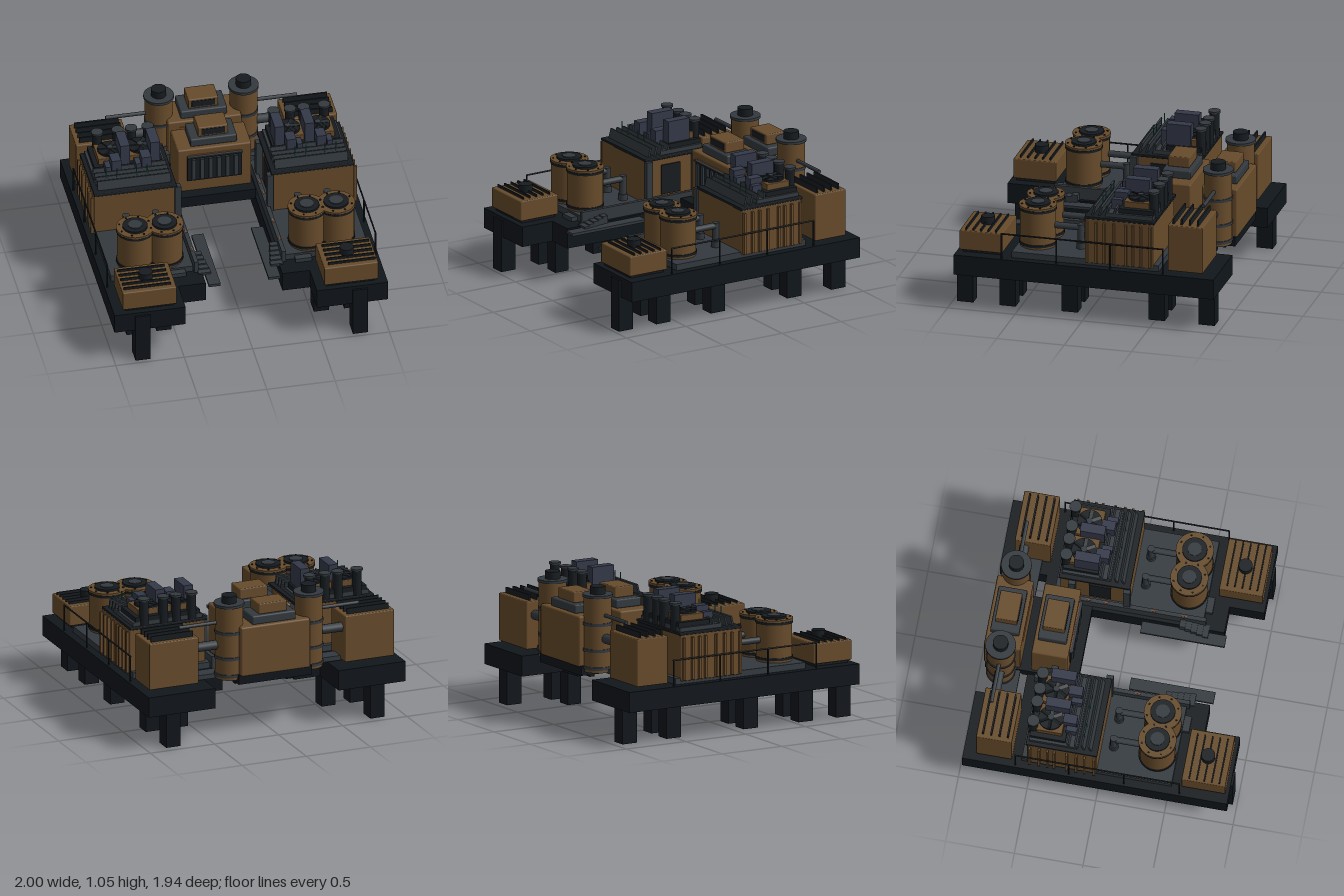
import * as THREE from 'three';
import { RoundedBoxGeometry } from 'three/addons/geometries/RoundedBoxGeometry.js';

const paint = (color) => new THREE.MeshStandardMaterial({ color });
const BASE = paint(0x10161b), BROWN = paint(0x674b2b), GREY = paint(0x33393e);
const DARK = paint(0x171c20), BLUE = paint(0x343949), GREEN = paint(0x1f6a5c), ORANGE = paint(0x8f5328);

// Box from its limits on each axis
function box(parent, name, mat, [x0, x1], [y0, y1], [z0, z1], bevel = 0) {
  const size = [Math.abs(x1 - x0), y1 - y0, Math.abs(z1 - z0)];
  const geo = bevel ? new RoundedBoxGeometry(...size, 1, bevel) : new THREE.BoxGeometry(...size);
  const mesh = new THREE.Mesh(geo, mat);
  mesh.name = name;
  mesh.position.set((x0 + x1) / 2, (y0 + y1) / 2, (z0 + z1) / 2);
  parent.add(mesh);
  return mesh;
}

// Upright cylinder
function cyl(parent, name, mat, x, z, r, y0, y1, sides = 24) {
  const mesh = new THREE.Mesh(new THREE.CylinderGeometry(r, r, y1 - y0, sides), mat);
  mesh.name = name;
  mesh.position.set(x, (y0 + y1) / 2, z);
  parent.add(mesh);
}

// Straight round bar between two points
function bar(parent, name, mat, a, b, r) {
  const p = new THREE.Vector3(...a), q = new THREE.Vector3(...b), d = q.clone().sub(p);
  const mesh = new THREE.Mesh(new THREE.CylinderGeometry(r, r, d.length(), 12), mat);
  mesh.name = name;
  mesh.position.copy(p).add(q).multiplyScalar(0.5);
  mesh.quaternion.setFromUnitVectors(new THREE.Vector3(0, 1, 0), d.normalize());
  parent.add(mesh);
}

// Wing outline in plan, moved inwards by t
const outline = (s, t) => [
  [0.28 + t, -0.63 + t], [0.48 + t, -0.63 + t], [0.48 + t, -0.972 + t], [1 - t, -0.972 + t],
  [1 - t, 0.955 - t], [0.48 + t, 0.955 - t], [0.48 + t, 0.7 - t], [0.28 + t, 0.7 - t],
].map(([x, z]) => new THREE.Vector2(x * s, z));

// Layer of the platform between two heights
function layer(parent, name, shape, y0, y1) {
  const geo = new THREE.ExtrudeGeometry(shape, { depth: y1 - y0, bevelEnabled: false });
  const mesh = new THREE.Mesh(geo.rotateX(Math.PI / 2).translate(0, y1, 0), BASE);
  mesh.name = name;
  parent.add(mesh);
}

// Storage tank with hoops, lid, bolts and an outlet pipe
function tank(parent, x, z) {
  const g = new THREE.Group();
  g.name = 'tank';
  g.position.set(x, 0, z);
  cyl(g, 'tankShell', BROWN, 0, 0, 0.13, 0.45, 0.755, 32);
  for (const y of [0.47, 0.73]) cyl(g, 'tankHoop', DARK, 0, 0, 0.136, y, y + 0.018, 32);
  cyl(g, 'tankRim', BROWN, 0, 0, 0.137, 0.75, 0.765, 32);
  cyl(g, 'tankLid', DARK, 0, 0, 0.09, 0.765, 0.78);
  cyl(g, 'tankHatch', GREY, 0, 0, 0.05, 0.78, 0.786);
  for (let i = 0; i < 8; i++) {
    const a = (i + 0.5) * Math.PI / 4;
    cyl(g, 'lidBolt', DARK, 0.115 * Math.cos(a), 0.115 * Math.sin(a), 0.007, 0.765, 0.772, 6);
  }
  bar(g, 'tankPipe', GREY, [0, 0.612, -0.1], [0, 0.612, -0.32], 0.024);
  cyl(g, 'pipeDrop', GREY, 0, -0.318, 0.026, 0.45, 0.637, 16);
  cyl(g, 'pipeFlange', GREY, 0, -0.318, 0.034, 0.455, 0.5, 16);
  parent.add(g);
}

// Roof fan with flat blades
function fan(parent, x, y, z) {
  cyl(parent, 'fanHousing', DARK, x, z, 0.09, y, y + 0.015);
  cyl(parent, 'fanHub', GREY, x, z, 0.022, y + 0.015, y + 0.03, 12);
  for (let i = 0; i < 6; i++) {
    const a = i * Math.PI / 3;
    const blade = box(parent, 'fanBlade', DARK, [-0.035, 0.035], [-0.003, 0.003], [-0.012, 0.012]);
    blade.position.set(x + 0.05 * Math.cos(a), y + 0.02, z - 0.05 * Math.sin(a));
    blade.rotation.set(0.35, a, 0, 'YXZ');
  }
}

// One side wing; s is +1 or -1
function buildWing(s) {
  const g = new THREE.Group();
  g.name = s > 0 ? 'leftWing' : 'rightWing';
  const b = (name, mat, x, y, z, bevel) => box(g, name, mat, x.map((v) => v * s), y, z, bevel);

  // Platform with a skirt, open below, on legs
  layer(g, 'platformTop', new THREE.Shape(outline(s, 0)), 0.38, 0.41);
  const skirt = new THREE.Shape(outline(s, 0));
  skirt.holes.push(new THREE.Path(outline(s, 0.03)));
  layer(g, 'platformSkirt', skirt, 0.26, 0.38);
  for (const z of [0.91, 0.595, 0.135, -0.51, -0.88]) {
    b('outerLeg', BASE, [0.74, 0.85], [0, 0.385], [z - 0.06, z + 0.06]);
    if (Math.abs(z) < 0.8) b('innerLeg', BASE, [0.52, 0.63], [0, 0.385], [z - 0.055, z + 0.055]);
  }
  b('deckPlate', GREY, [0.34, 0.94], [0.41, 0.455], [-0.55, 0.54]);
  b('deckCurb', GREY, [0.305, 0.335], [0.41, 0.5], [-0.57, 0.56]);
  for (const z of [-0.3, -0.17, 0.18, 0.4]) b('curbLight', ORANGE, [0.315, 0.323], [0.5, 0.504], [z - 0.02, z + 0.02]);

  // Tanks
  for (const x of [0.52, 0.735]) tank(g, x * s, 0.4);

  // Front cabinet
  b('frontCabinet', BROWN, [0.54, 0.935], [0.43, 0.58], [0.612, 0.93], 0.008);
  b('frontCabinetFoot', DARK, [0.56, 0.91], [0.41, 0.43], [0.63, 0.91]);
  for (let i = 0; i < 5; i++) b('frontSlat', DARK, [0.575, 0.92], [0.58, 0.598], [0.66 + i * 0.055, 0.67 + i * 0.055]);
  cyl(g, 'frontVent', DARK, 0.735 * s, 0.77, 0.05, 0.58, 0.635);

  // Machine house with ribs and a side door
  b('machineHouse', BROWN, [0.36, 0.95], [0.43, 0.77], [-0.51, -0.005], 0.008);
  for (const z of [-0.02, -0.09, -0.15, -0.22, -0.31, -0.36, -0.42, -0.49])
    b('houseRib', BROWN, [0.94, 0.972], [0.44, 0.75], [z - 0.008, z + 0.008]);
  b('houseDoor', DARK, [0.35, 0.37], [0.5, 0.72], [-0.3, -0.14]);
  for (const z of [-0.02, -0.42]) b('housePost', GREY, [0.315, 0.36], [0.45, 0.77], [z - 0.025, z + 0.025]);

  // Stepped roof with louvres
  b('roofEdge', DARK, [0.345, 0.95], [0.765, 0.785], [-0.52, 0], 0.005);
  b('roofStep', GREY, [0.38, 0.92], [0.785, 0.815], [-0.5, -0.15]);
  b('roofTop', DARK, [0.4, 0.9], [0.815, 0.85], [-0.5, -0.24]);
  for (const z of [-0.06, -0.11, -0.16, -0.215])
    b('roofLouvre', GREY, [0.38, 0.915], [0.785, 0.855], [z - 0.007, z + 0.007]).rotation.x = -0.25;

  // Fans, ducts and chimneys on the roof
  for (const x of [0.54, 0.76]) {
    b('fanBox', BROWN, [x - 0.105, x + 0.105], [0.84, 0.895], [-0.46, -0.27], 0.005);
    fan(g, x * s, 0.895, -0.37);
    b('tallDuct', BLUE, [x - 0.12, x - 0.05], [0.85, 1.01], [-0.42, -0.24]);
    b('lowDuct', BLUE, [x - 0.045, x + 0.025], [0.815, 0.93], [-0.28, -0.18]);
    b('smallDuct', BLUE, [x + 0.03, x + 0.07], [0.815, 0.89], [-0.25, -0.17]);
    for (const dx of [0, 0.08]) cyl(g, 'coolantRod', GREEN, (x + dx) * s, -0.11, 0.004, 0.78, 0.92, 6);
  }
  for (const x of [0.46, 0.58, 0.68, 0.83]) {
    cyl(g, 'chimney', DARK, x * s, -0.485, 0.035, 0.77, 0.97, 16);
    cyl(g, 'chimneyCap', GREY, x * s, -0.485, 0.044, 0.97, 0.985, 16);
  }

  // Rear cabinet with slats
  b('rearCabinet', BROWN, [0.57, 0.955], [0.43, 0.78], [-0.88, -0.62], 0.008);
  for (let i = 0; i < 4; i++) {
    const z = -0.835 + i * 0.06;
    b('rearSlat', DARK, [0.6, 0.925], [0.775, 0.822], [z - 0.006, z + 0.006]);
  }

  // Exhaust stack with links to the rear cabinet
  const sx = 0.31 * s, sz = -0.82;
  cyl(g, 'stack', BROWN, sx, sz, 0.1, 0.43, 0.975, 32);
  for (const y of [0.45, 0.58, 0.77]) cyl(g, 'stackHoop', GREY, sx, sz, 0.106, y, y + 0.022, 32);
  cyl(g, 'stackRim', GREY, sx, sz, 0.11, 0.975, 0.995, 32);
  cyl(g, 'stackOutlet', DARK, sx, sz, 0.055, 0.99, 1.05);
  bar(g, 'linkPipe', GREY, [0.35 * s, 0.68, -0.81], [0.6 * s, 0.68, -0.81], 0.035);
  bar(g, 'topPipe', GREY, [0.38 * s, 0.85, -0.815], [0.7 * s, 0.85, -0.815], 0.014);
  b('rearCatwalk', GREY, [0.26, 0.58], [0.42, 0.455], [-0.79, -0.68]);

  // Outer handrail
  for (const z of [0.605, 0.2, -0.2, -0.59]) bar(g, 'railPost', DARK, [0.98 * s, 0.41, z], [0.98 * s, 0.6, z], 0.006);
  bar(g, 'handrail', DARK, [0.98 * s, 0.6, 0.61], [0.98 * s, 0.6, -0.595], 0.006);

  // Inner gangway reached by steps
  b('gangway', GREY, [0.175, 0.262], [0.385, 0.405], [0.105, 0.72]);
  for (let i = 0; i < 5; i++)
    b('gangwayStep', GREY, [0.25 - i * 0.008, 0.31], [0.395, 0.46 - i * 0.01], [0.375 + i * 0.043, 0.418 + i * 0.043]);
  b('deckStep', GREY, [0.4, 0.52], [0.41, 0.44], [0.54, 0.59]);
  return g;
}

// Central unit with a two-step roof hood
function centralUnit(parent, name, z0, z1) {
  const g = new THREE.Group();
  g.name = name;
  const m = (z0 + z1) / 2;
  box(g, 'unitBody', BROWN, [-0.27, 0.27], [0.46, 0.83], [z0, z1], 0.012);
  box(g, 'hoodBase', GREY, [-0.17, 0.17], [0.83, 0.895], [m - 0.105, m + 0.105], 0.01);
  box(g, 'hood', BROWN, [-0.11, 0.11], [0.895, 0.975], [m - 0.08, m + 0.08], 0.008);
  box(g, 'hoodVent', DARK, [-0.085, 0.085], [0.91, 0.96], [m + 0.07, m + 0.083]);
  box(g, 'accentStrip', ORANGE, [-0.18, 0.18], [0.778, 0.782], [z1 - 0.01, z1 + 0.006]);
  parent.add(g);
  return g;
}

export function createModel() {
  const model = new THREE.Group();
  model.name = 'industrialPlatform';
  for (const s of [1, -1]) model.add(buildWing(s));

  // Bridge joining the wings
  box(model, 'bridge', BASE, [-0.285, 0.285], [0.4, 0.47], [-0.94, -0.26]);
  for (const z of [-0.85, -0.65, -0.45, -0.28]) box(model, 'bridgeBeam', BASE, [-0.285, 0.285], [0.385, 0.405], [z - 0.02, z + 0.02]);

  // Front and rear central units
  const front = centralUnit(model, 'frontUnit', -0.605, -0.34);
  centralUnit(model, 'rearUnit', -0.95, -0.685);
  box(front, 'grilleRecess', DARK, [-0.2, 0.2], [0.56, 0.765], [-0.345, -0.33]);
  for (let i = 0; i < 6; i++)
    box(front, 'grilleSlat', GREY, [-0.17 + i * 0.062, -0.14 + i * 0.062], [0.575, 0.75], [-0.335, -0.315]);
  box(front, 'grilleLip', GREY, [-0.2, 0.2], [0.765, 0.775], [-0.345, -0.315]);
  return model;
}
